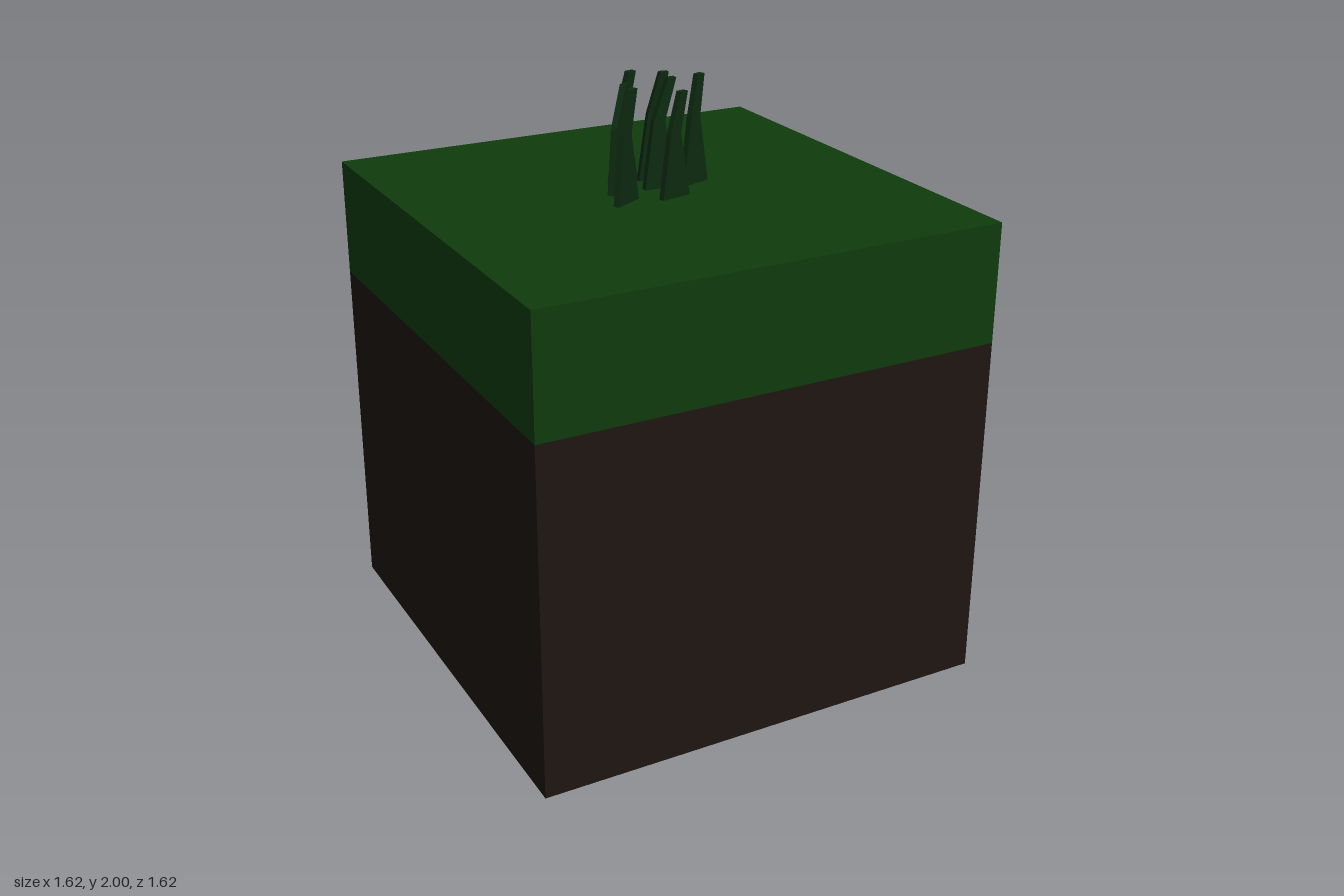
import * as THREE from 'three';

const material = (color) => new THREE.MeshStandardMaterial({ color, flatShading: true });

const SIDE = 1.62, SOIL_TOP = 1.22, TURF_TOP = 1.63;

// One grass blade: a thin box that narrows at the middle and leans over at the tip.
function bladeGeometry(height, lean, bend) {
  const thickness = 0.022;
  const geometry = new THREE.BoxGeometry(1, 1, thickness, 1, 2, 1);
  // [height fraction, half width, sideways offset, offset in depth]
  const rings = [
    [0, 0.057, 0, 0],
    [0.62, 0.021, -0.004, bend * 0.25],
    [1, 0.015, lean, bend],
  ];
  const p = geometry.attributes.position;
  for (let i = 0; i < p.count; i++) {
    const [t, half, shift, depth] = rings[Math.round((p.getY(i) + 0.5) * 2)];
    p.setXYZ(i, Math.sign(p.getX(i)) * half + shift, t * height, p.getZ(i) + depth);
  }
  geometry.computeVertexNormals();
  return geometry;
}

export function createModel() {
  const model = new THREE.Group();
  model.name = 'grassBlock';

  // Soil and turf layers
  const layer = (name, bottom, top, color) => {
    const mesh = new THREE.Mesh(new THREE.BoxGeometry(SIDE, top - bottom, SIDE), material(color));
    mesh.name = name;
    mesh.position.y = (bottom + top) / 2;
    model.add(mesh);
  };
  layer('soil', 0, SOIL_TOP, 0x1d1510);
  layer('turf', SOIL_TOP, TURF_TOP, 0x0f3b0d);

  // Tuft of blades: [x, z, turn about y, height, lean, bend]
  const tuft = new THREE.Group();
  tuft.name = 'grassTuft';
  tuft.position.y = TURF_TOP;
  const grass = material(0x0d2a10);
  [
    [-0.04, -0.15, 0.22, 0.37, 0.036, 0],
    [0.06, -0.115, -0.12, 0.37, 0.03, 0.012],
    [-0.115, -0.05, 0.78, 0.35, 0.058, 0.012],
    [0.03, -0.02, 0, 0.37, 0.043, 0],
    [0.16, -0.015, 0.3, 0.37, 0.02, 0],
    [-0.142, 0.077, 0.5, 0.37, 0.036, 0],
    [0.027, 0.095, 0.22, 0.35, 0.03, 0],
  ].forEach(([x, z, turn, height, lean, bend], i) => {
    const blade = new THREE.Mesh(bladeGeometry(height, lean, bend), grass);
    blade.name = `grassBlade${i + 1}`;
    blade.position.set(x, 0, z);
    blade.rotation.y = turn;
    tuft.add(blade);
  });
  model.add(tuft);

  return model;
}
